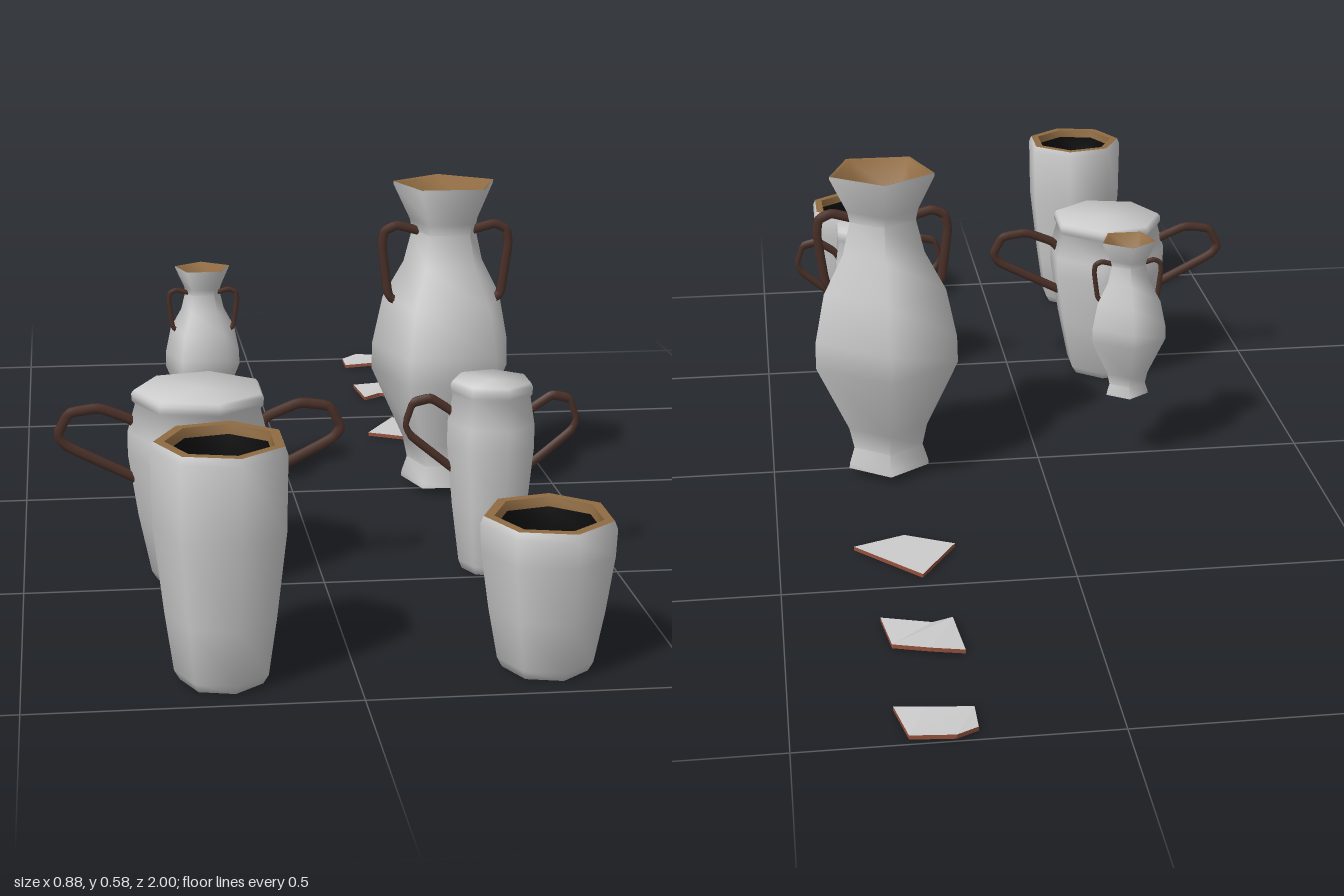
import * as THREE from 'three';
import { toCreasedNormals } from 'three/addons/utils/BufferGeometryUtils.js';

const mat = (color) => new THREE.MeshStandardMaterial({ color, side: THREE.DoubleSide });
const CLAY = mat(0xcccccc);
const HANDLE = mat(0x4a3028);
const RIM = mat(0x8f6b42);
const DARK = mat(0x0c0c0c);
const BROKEN = mat(0x94503a);

const vec2 = ([a, b]) => new THREE.Vector2(a, b);

// Faceted turned part: profile is [radius, height], bottom to top outside
function turned(name, profile, sides, start, material) {
  const geo = new THREE.LatheGeometry(profile.map(vec2), sides, start);
  const mesh = new THREE.Mesh(toCreasedNormals(geo, 1.3), material);
  mesh.name = name;
  return mesh;
}

// Pair of mirrored handles following angular points in the xy plane
function handles(points, radius) {
  const group = new THREE.Group();
  group.name = 'handles';
  for (const side of [1, -1]) {
    const path = new THREE.CurvePath();
    const pts = points.map(([x, y]) => new THREE.Vector3(x * side, y, 0));
    // short chamfer at each corner so the bends stay clean
    let from = pts[0];
    for (let i = 1; i < pts.length - 1; i++) {
      const a = pts[i].clone().lerp(pts[i - 1], 0.2);
      const b = pts[i].clone().lerp(pts[i + 1], 0.2);
      path.add(new THREE.LineCurve3(from, a));
      path.add(new THREE.QuadraticBezierCurve3(a, pts[i], b));
      from = b;
    }
    path.add(new THREE.LineCurve3(from, pts[pts.length - 1]));
    const mesh = new THREE.Mesh(new THREE.TubeGeometry(path, 36, radius, 6), HANDLE);
    mesh.name = side > 0 ? 'leftHandle' : 'rightHandle';
    group.add(mesh);
  }
  return group;
}

// Open seven-sided vase
function openVase(name, height, profile) {
  const g = new THREE.Group();
  g.name = name;
  const s = -Math.PI / 2;
  g.add(
    turned('body', [[0, 0.005], ...profile, [0.104, height - 0.012], [0.099, height]], 7, s, CLAY),
    turned('rim', [[0.099, height], [0.083, height], [0.08, height - 0.015]], 7, s, RIM),
    turned('inside', [[0.08, height - 0.015], [0.077, height - 0.05], [0, height - 0.05]], 7, s, DARK),
  );
  g.scale.z = 1.03;
  return g;
}

// Closed seven-sided jug with two wide handles
function jug(name) {
  const g = new THREE.Group();
  g.name = name;
  const body = turned('body', [
    [0, 0.005], [0.073, 0.005], [0.083, 0.02], [0.104, 0.12], [0.12, 0.225], [0.12, 0.265],
    [0.107, 0.312], [0.112, 0.318], [0.113, 0.33], [0.108, 0.336], [0, 0.336],
  ], 7, -Math.PI / 2, CLAY);
  body.scale.z = 1.03;
  g.add(body, handles([
    [0.095, 0.265], [0.112, 0.285], [0.166, 0.307], [0.216, 0.3],
    [0.236, 0.262], [0.222, 0.243], [0.098, 0.18],
  ], 0.009));
  return g;
}

// Five-sided amphora with a flared mouth
function amphora(name) {
  const g = new THREE.Group();
  g.name = name;
  g.add(
    turned('body', [
      [0, 0.02], [0.078, 0.02], [0.077, 0.03], [0.067, 0.06], [0.076, 0.1], [0.137, 0.23],
      [0.136, 0.28], [0.117, 0.37], [0.078, 0.44], [0.063, 0.5], [0.067, 0.52],
      [0.099, 0.585], [0.099, 0.59],
    ], 5, Math.PI, CLAY),
    turned('mouth', [[0.099, 0.59], [0.092, 0.588], [0.06, 0.525]], 5, Math.PI, RIM),
    turned('inside', [[0.06, 0.525], [0.055, 0.49], [0, 0.49]], 5, Math.PI, DARK),
    handles([
      [0.045, 0.5], [0.092, 0.513], [0.115, 0.502], [0.119, 0.475],
      [0.106, 0.378], [0.086, 0.366],
    ], 0.009),
  );
  return g;
}

// Flat broken piece; outline is [x, z], lift bows it slightly
function shard(name, outline, lift) {
  const shape = new THREE.Shape(outline.map(([x, z]) => new THREE.Vector2(x, -z)));
  const geo = new THREE.ExtrudeGeometry(shape, { depth: 0.007, bevelEnabled: false });
  geo.rotateX(-Math.PI / 2);
  const p = geo.attributes.position;
  for (let i = 0; i < p.count; i++) {
    const d = (p.getX(i) - 0.28) / 0.06;
    p.setY(i, p.getY(i) + 0.005 + lift * Math.max(0, 1 - d * d));
  }
  geo.computeVertexNormals();
  const mesh = new THREE.Mesh(geo, [CLAY, BROKEN]);
  mesh.name = name;
  return mesh;
}

export function createModel() {
  const model = new THREE.Group();
  model.name = 'potteryCollection';
  const place = (part, x, y, z) => {
    part.position.set(x, y, z);
    model.add(part);
    return part;
  };

  // Open vases at the front
  place(openVase('tallVase', 0.375,
    [[0.064, 0.005], [0.073, 0.02], [0.086, 0.11], [0.102, 0.245]]), -0.2, 0, 0.893);
  place(openVase('shortVase', 0.245,
    [[0.066, 0.005], [0.074, 0.02], [0.089, 0.1], [0.102, 0.19]]), 0.289, 0, 0.893);

  // Jugs in the middle row
  place(jug('wideJug'), -0.203, 0, 0.455);
  place(jug('narrowJug'), 0.287, 0, 0.452).scale.set(0.62, 1, 0.62);

  // Amphorae behind
  place(amphora('largeAmphora'), 0.286, 0, -0.01);
  place(amphora('smallAmphora'), -0.166, 0.127, -0.013).scale.setScalar(0.53);

  // Broken pieces
  model.add(
    shard('largeShard', [[0.26, -0.47], [0.37, -0.35], [0.28, -0.315], [0.195, -0.36]], 0),
    shard('middleShard', [[0.215, -0.74], [0.27, -0.735], [0.33, -0.71], [0.342, -0.615],
      [0.26, -0.65], [0.225, -0.63]], 0.005),
    shard('smallShard', [[0.22, -0.975], [0.255, -1], [0.325, -0.99], [0.342, -0.9],
      [0.295, -0.915], [0.22, -0.915]], 0.005),
  );
  return model;
}
